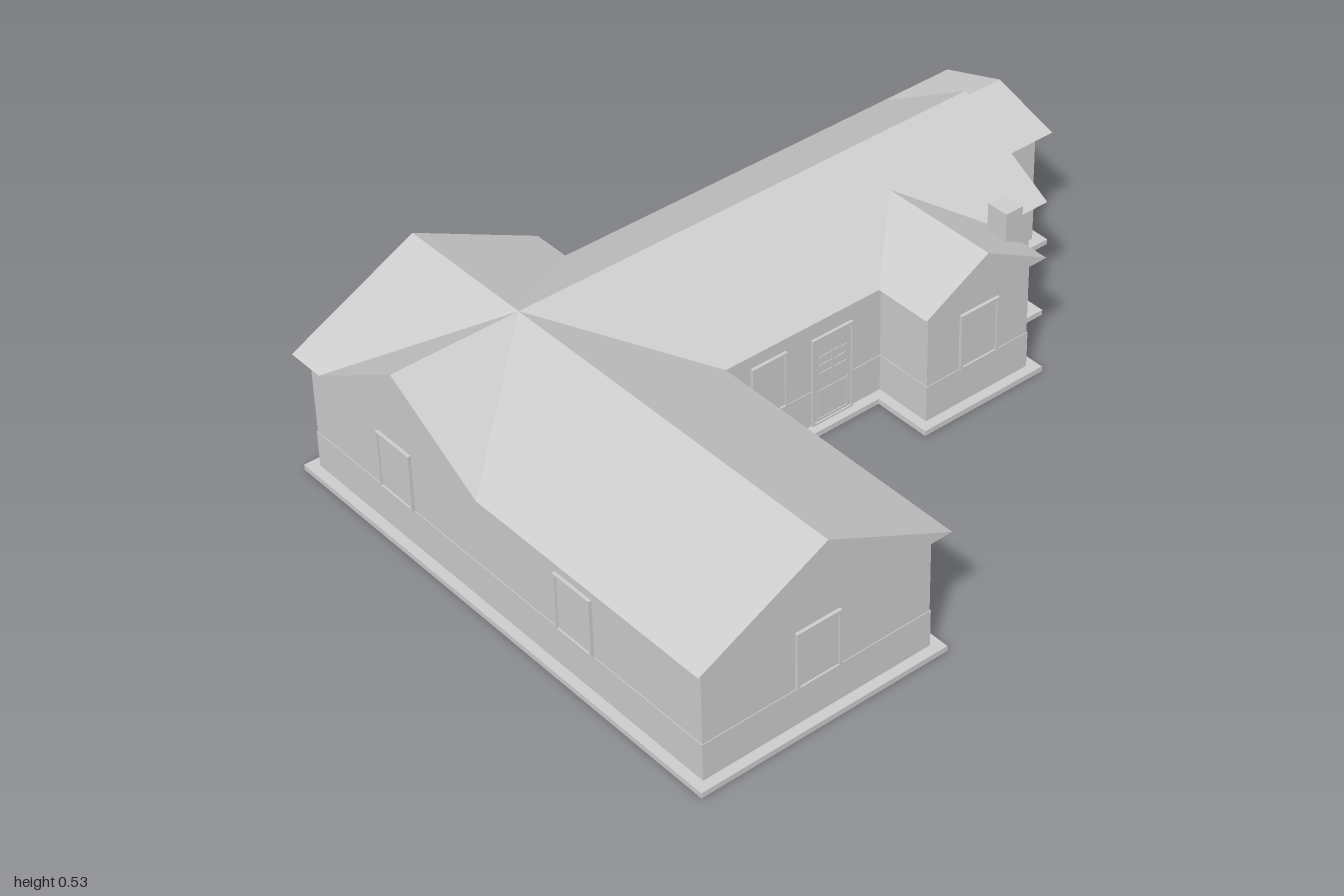
import * as THREE from 'three';

const EAVE = 0.35;
const SLAB = 0.015;
const material = new THREE.MeshStandardMaterial({ color: 0xcccccc, flatShading: true });

function add(parent, name, geometry, x = 0, y = 0, z = 0) {
  const mesh = new THREE.Mesh(geometry, material);
  mesh.name = name;
  mesh.position.set(x, y, z);
  parent.add(mesh);
  return mesh;
}

const extrude = (shape, depth) => new THREE.ExtrudeGeometry(shape, { depth, bevelEnabled: false });

// House outline in plan (x, z), pushed outwards by d
function footprint(d) {
  const points = [
    [-0.97 - d, -0.72 - d], [-0.305 + d, -0.72 - d], [-0.305 + d, -0.61 - d], [0.97 + d, -0.61 - d],
    [0.97 + d, -0.275 + d], [0.745 + d, -0.275 + d], [0.745 + d, -0.06 + d], [0.58 + d, -0.06 + d],
    [0.58 + d, 0.11 + d], [0.245 - d, 0.11 + d], [0.245 - d, -0.06 + d], [-0.305 + d, -0.06 + d],
    [-0.305 + d, 0.72 + d], [-0.97 - d, 0.72 + d],
  ];
  return new THREE.Shape(points.map(([x, z]) => new THREE.Vector2(x, -z)));
}

// Horizontal layer of the house between two heights
function layer(parent, name, d, y0, y1) {
  add(parent, name, extrude(footprint(d), y1 - y0).rotateX(-Math.PI / 2), 0, y0, 0);
}

// Solid gable roof; the ridge runs along z, or along x when alongX is set
function gableRoof(parent, name, centre, half, rise, from, to, alongX) {
  const shape = new THREE.Shape([
    new THREE.Vector2(-half, 0), new THREE.Vector2(half, 0), new THREE.Vector2(0, rise),
  ]);
  const roof = add(parent, name, extrude(shape, to - from));
  if (alongX) {
    roof.rotation.y = Math.PI / 2;
    roof.position.set(from, EAVE, centre);
  } else {
    roof.position.set(centre, EAVE, from);
  }
}

// Flat rectangular ring standing on y0, facing +z
function ring(w, h, t, depth) {
  const rect = (Type, a, b) => new Type([
    new THREE.Vector2(-a, -b), new THREE.Vector2(a, -b), new THREE.Vector2(a, b), new THREE.Vector2(-a, b),
  ]);
  const shape = rect(THREE.Shape, w / 2, h / 2);
  shape.holes.push(rect(THREE.Path, w / 2 - t, h / 2 - t));
  return extrude(shape, depth);
}

// Group set on a wall, its local +z pointing out of the wall
function onWall(parent, name, x, z, turn) {
  const group = new THREE.Group();
  group.name = name;
  group.position.set(x, 0, z);
  group.rotation.y = turn;
  parent.add(group);
  return group;
}

function addWindow(parent, x, z, turn, w, y0, y1) {
  const g = onWall(parent, 'window', x, z, turn);
  const mid = (y0 + y1) / 2;
  add(g, 'windowFrame', ring(w, y1 - y0, 0.007, 0.009), 0, mid, 0);
  add(g, 'windowPane', new THREE.BoxGeometry(w - 0.012, y1 - y0 - 0.012, 0.008), 0, mid, 0);
}

function addGarageDoor(parent) {
  const g = onWall(parent, 'garageDoor', -0.305, 0.3875, Math.PI / 2);
  add(g, 'doorLeaf', new THREE.BoxGeometry(0.52, 0.27, 0.008), 0, 0.15, 0);
  const pitch = 0.129;
  for (let row = 0; row < 4; row++) {
    for (let col = 0; col < 4; col++) {
      add(g, 'doorPanel', ring(0.125, 0.05, 0.006, 0.009), (col - 1.5) * pitch, 0.055 + row * 0.068, 0);
    }
  }
}

function addFrontDoor(parent) {
  const g = onWall(parent, 'frontDoor', 0.085, -0.06, 0);
  add(g, 'doorLeaf', new THREE.BoxGeometry(0.12, 0.255, 0.008), 0, 0.1425, 0);
  add(g, 'doorFrame', ring(0.13, 0.26, 0.005, 0.008), 0, 0.145, 0);
  add(g, 'lowerPanel', ring(0.1, 0.09, 0.004, 0.006), 0, 0.07, 0);
  // Glazing bars in the upper half
  add(g, 'glazingBar', new THREE.BoxGeometry(0.004, 0.11, 0.012), 0, 0.19, 0);
  for (const y of [0.165, 0.19, 0.215]) {
    add(g, 'glazingBar', new THREE.BoxGeometry(0.09, 0.004, 0.012), 0, y, 0);
  }
}

export function createModel() {
  const house = new THREE.Group();
  house.name = 'house';

  // Base, lower wall band and walls
  layer(house, 'foundationSlab', 0.03, 0, SLAB);
  layer(house, 'lowerWallBand', 0.002, SLAB, 0.12);
  layer(house, 'walls', 0, SLAB, EAVE);

  // Crossing gable roofs
  gableRoof(house, 'garageWingRoof', -0.635, 0.365, 0.18, -0.75, 0.75, false);
  gableRoof(house, 'mainRoof', -0.335, 0.305, 0.18, -1, 0.775, true);
  gableRoof(house, 'frontBayRoof', 0.41, 0.198, 0.108, -0.25, 0.14, false);
  gableRoof(house, 'sideWingRoof', -0.4425, 0.1975, 0.065, 0.74, 1, true);

  // Chimney beside the front bay
  add(house, 'chimney', new THREE.BoxGeometry(0.055, 0.46 - SLAB, 0.065), 0.5775, (0.46 + SLAB) / 2, 0.0225);

  // Front windows
  addWindow(house, -0.64, 0.72, 0, 0.13, 0.12, 0.285);
  addWindow(house, -0.115, -0.06, 0, 0.11, 0.12, 0.285);
  addWindow(house, 0.412, 0.11, 0, 0.125, 0.12, 0.285);
  addWindow(house, 0.855, -0.275, 0, 0.09, 0.13, 0.27);
  // End windows
  addWindow(house, 0.97, -0.44, Math.PI / 2, 0.105, 0.135, 0.27);
  for (const z of [-0.39, 0.28]) addWindow(house, -0.97, z, -Math.PI / 2, 0.13, 0.12, 0.285);
  // Back windows
  addWindow(house, -0.635, -0.72, Math.PI, 0.13, 0.12, 0.285);
  for (const x of [-0.09, 0.335]) addWindow(house, x, -0.61, Math.PI, 0.13, 0.12, 0.285);
  addWindow(house, 0.695, -0.61, Math.PI, 0.07, 0.2, 0.285);

  addGarageDoor(house);
  addFrontDoor(house);
  return house;
}
